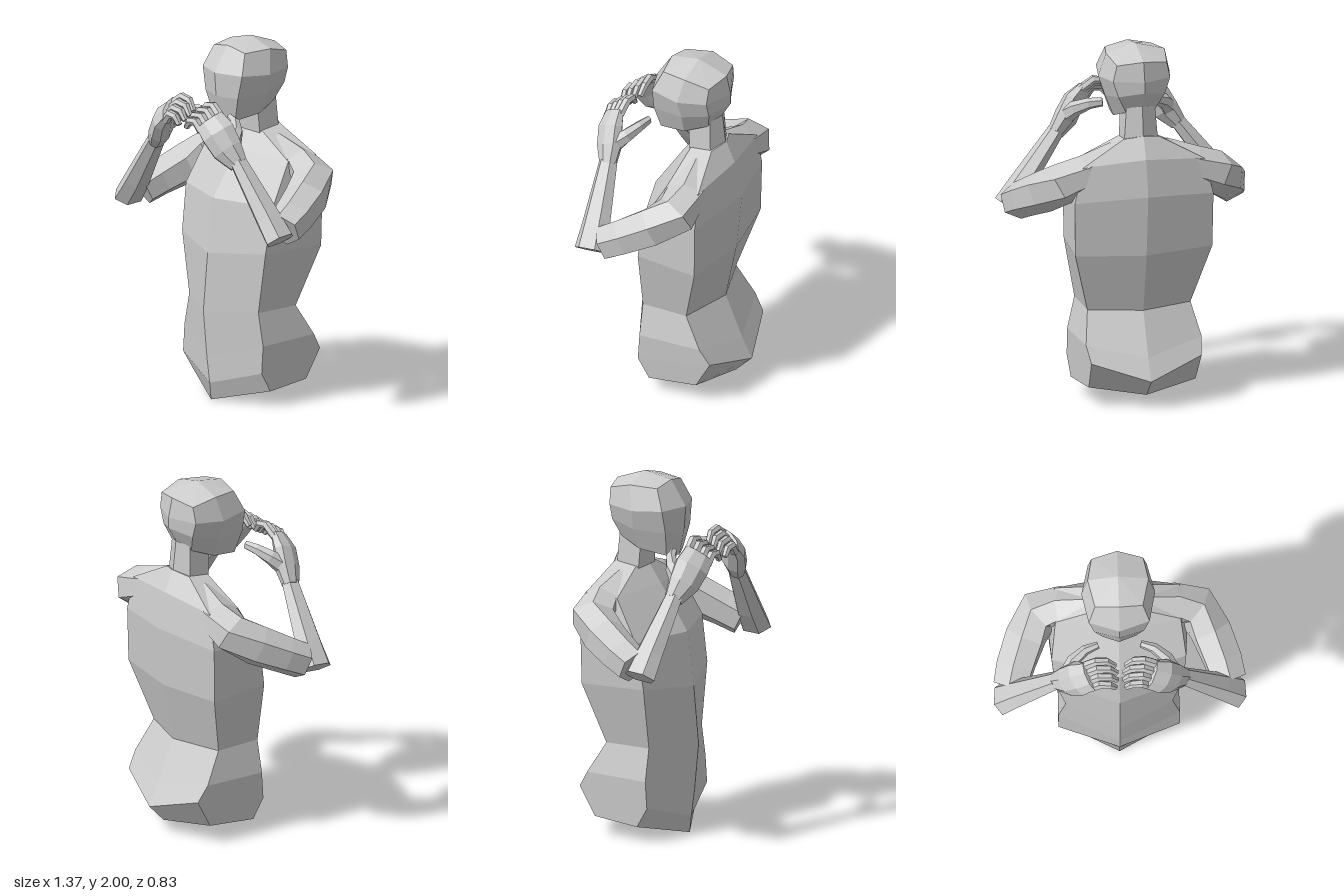
import * as THREE from 'three';

const V = (x, y, z) => new THREE.Vector3(x, y, z);

// Skin closed rings (counter-clockwise about the direction of travel) and cap both ends.
// Every four-sided facet gets a single normal, so it reads as one flat face.
function loft(rings, startCap, endCap) {
  const pos = [], nor = [];
  const tri = (n, ...pts) => pts.forEach((p) => {
    pos.push(p.x, p.y, p.z);
    nor.push(n.x, n.y, n.z);
  });
  const cross = (a, b, c, d) => b.clone().sub(a).cross(d.clone().sub(c)).normalize();
  const mid = (r) => r.reduce((s, p) => s.add(p), V(0, 0, 0)).divideScalar(r.length);
  const n = rings[0].length, first = rings[0], last = rings[rings.length - 1];
  const c0 = startCap || mid(first), c1 = endCap || mid(last);
  for (let k = 0; k < n; k++) {
    const m = (k + 1) % n;
    for (let j = 0; j < rings.length - 1; j++) {
      const a = rings[j][k], b = rings[j][m], c = rings[j + 1][m], d = rings[j + 1][k];
      const normal = cross(a, c, b, d);
      if (a.distanceTo(c) < b.distanceTo(d)) {
        tri(normal, a, b, c);
        tri(normal, a, c, d);
      } else {
        tri(normal, a, b, d);
        tri(normal, b, c, d);
      }
    }
    tri(cross(c0, first[m], c0, first[k]), c0, first[m], first[k]);
    tri(cross(c1, last[k], c1, last[m]), c1, last[k], last[m]);
  }
  const g = new THREE.BufferGeometry();
  g.setAttribute('position', new THREE.Float32BufferAttribute(pos, 3));
  g.setAttribute('normal', new THREE.Float32BufferAttribute(nor, 3));
  return g;
}

// Half ring, front centre to back centre, mirrored into a full ring
function mirrorRing(half) {
  const left = half.map((p) => V(...p));
  const right = left.slice(1, -1).reverse().map((p) => V(-p.x, p.y, p.z));
  return [...left, ...right];
}

// Limb: stations [x, y, z, a, b], b is the radius along ref, a the one across it
function limb(stations, sides, ref, sx) {
  const pts = stations.map((s) => V(s[0], s[1], s[2]));
  const rings = stations.map((s, i) => {
    const t = pts[Math.min(i + 1, pts.length - 1)].clone().sub(pts[Math.max(i - 1, 0)]).normalize();
    const side = ref.clone().cross(t).normalize();
    const up = t.clone().cross(side);
    const ring = [];
    for (let k = 0; k < sides; k++) {
      const a = ((k + 0.5) / sides) * Math.PI * 2;
      const p = pts[i].clone().addScaledVector(side, Math.cos(a) * s[3]).addScaledVector(up, Math.sin(a) * s[4]);
      p.x *= sx;
      ring.push(p);
    }
    return sx < 0 ? ring.reverse() : ring;
  });
  return loft(rings);
}

export function createModel() {
  const model = new THREE.Group();
  const clay = new THREE.MeshStandardMaterial({ color: 0xcccccc });
  clay.name = 'grey clay';
  const add = (parent, name, geometry) => {
    const mesh = new THREE.Mesh(geometry, clay);
    mesh.name = name;
    parent.add(mesh);
  };

  // Torso, from the hips up to the collar
  const torso = [
    [[0, 0.005, 0.19], [0.325, 0.09, 0.045], [0.3, 0.11, -0.23], [0, 0.07, -0.32]],
    [[0, 0.1, 0.2], [0.33, 0.2, 0.11], [0.31, 0.27, -0.32], [0, 0.17, -0.415]],
    [[0, 0.25, 0.22], [0.33, 0.35, 0.1], [0.325, 0.36, -0.265], [0, 0.29, -0.355]],
    [[0, 0.51, 0.245], [0.29, 0.53, 0.1], [0.29, 0.53, -0.165], [0, 0.53, -0.255]],
    [[0, 0.83, 0.215], [0.35, 0.87, 0.1], [0.385, 0.87, -0.265], [0, 0.86, -0.32]],
    [[0, 1.13, 0.175], [0.365, 1.13, 0.06], [0.39, 1.17, -0.27], [0, 1.2, -0.355]],
    [[0, 1.38, 0.01], [0.34, 1.36, -0.07], [0.34, 1.37, -0.265], [0, 1.4, -0.31]],
    [[0, 1.48, -0.06], [0.1, 1.48, -0.09], [0.1, 1.5, -0.22], [0, 1.52, -0.26]],
  ];
  add(model, 'torso', loft(torso.map(mirrorRing), V(0, 0.04, -0.07)));

  // Neck
  const neck = [
    [[0, 1.46, -0.06], [0.09, 1.46, -0.08], [0.095, 1.48, -0.21], [0, 1.5, -0.255]],
    [[0, 1.62, -0.05], [0.08, 1.63, -0.07], [0.08, 1.67, -0.2], [0, 1.68, -0.235]],
  ];
  add(model, 'neck', loft(neck.map(mirrorRing)));

  // Head, from the jaw up to the crown
  const head = [
    [[0, 1.555, 0.125], [0.09, 1.565, 0.095], [0.115, 1.59, -0.06], [0.08, 1.64, -0.19], [0, 1.66, -0.22]],
    [[0, 1.7, 0.155], [0.135, 1.7, 0.115], [0.165, 1.71, -0.07], [0.13, 1.74, -0.22], [0, 1.77, -0.285]],
    [[0, 1.83, 0.165], [0.165, 1.83, 0.11], [0.2, 1.82, -0.06], [0.16, 1.83, -0.22], [0, 1.83, -0.285]],
    [[0, 1.97, 0.075], [0.13, 1.945, 0.06], [0.165, 1.955, -0.09], [0.14, 1.92, -0.225], [0, 1.94, -0.26]],
  ];
  add(model, 'head', loft(head.map(mirrorRing), null, V(0, 2, -0.09)));

  // Arms and hands, one side mirrored to the other
  for (const [label, sx] of [['left', 1], ['right', -1]]) {
    const arm = new THREE.Group();
    arm.name = label + 'Arm';
    model.add(arm);

    // Shoulder slopes out of the collar and runs down to the elbow
    add(arm, 'upperArm', limb([
      [0.13, 1.4, -0.155, 0.09, 0.075],
      [0.3, 1.325, -0.175, 0.115, 0.095],
      [0.42, 1.265, -0.175, 0.125, 0.115],
      [0.5, 1.19, -0.06, 0.12, 0.115],
      [0.56, 1.12, 0.08, 0.115, 0.105],
      [0.59, 1.07, 0.18, 0.105, 0.1],
    ], 6, V(0, 1, 0), sx));

    add(arm, 'forearm', limb([
      [0.635, 1.03, 0.238, 0.068, 0.095],
      [0.55, 1.14, 0.25, 0.066, 0.082],
      [0.34, 1.42, 0.285, 0.045, 0.053],
    ], 6, V(0, 0, 1), sx));

    // Palm widens from the wrist toward the knuckles
    const across = V(0.4, 0.5, -0.75).normalize();
    add(arm, 'palm', limb([
      [0.345, 1.405, 0.285, 0.045, 0.055],
      [0.28, 1.48, 0.31, 0.064, 0.09],
      [0.228, 1.565, 0.332, 0.057, 0.1],
      [0.165, 1.625, 0.342, 0.034, 0.088],
    ], 8, across, sx));

    // Four fingers curl in toward the middle
    for (let i = 0; i < 4; i++) {
      const f = i / 3, reach = (1 - Math.abs(i - 1.5) / 1.5) * 0.015;
      add(arm, 'finger' + (i + 1), limb([
        [0.2 - 0.05 * f, 1.64 - 0.07 * f, 0.29 + 0.095 * f, 0.026, 0.026],
        [0.13 - 0.02 * f, 1.69 - 0.075 * f, 0.283 + 0.107 * f, 0.025, 0.024],
        [0.075 - 0.015 * f - reach, 1.68 - 0.07 * f, 0.28 + 0.112 * f, 0.023, 0.022],
        [0.03 - reach, 1.63 - 0.06 * f, 0.288 + 0.102 * f, 0.016, 0.017],
      ], 6, V(0, 0, 1), sx));
    }

    // Thumb reaches back toward the face
    add(arm, 'thumb', limb([
      [0.28, 1.51, 0.27, 0.045, 0.05],
      [0.25, 1.555, 0.22, 0.036, 0.042],
      [0.185, 1.59, 0.178, 0.028, 0.032],
      [0.115, 1.6, 0.155, 0.019, 0.025],
    ], 6, V(0, 1, 0), sx));
  }
  return model;
}
